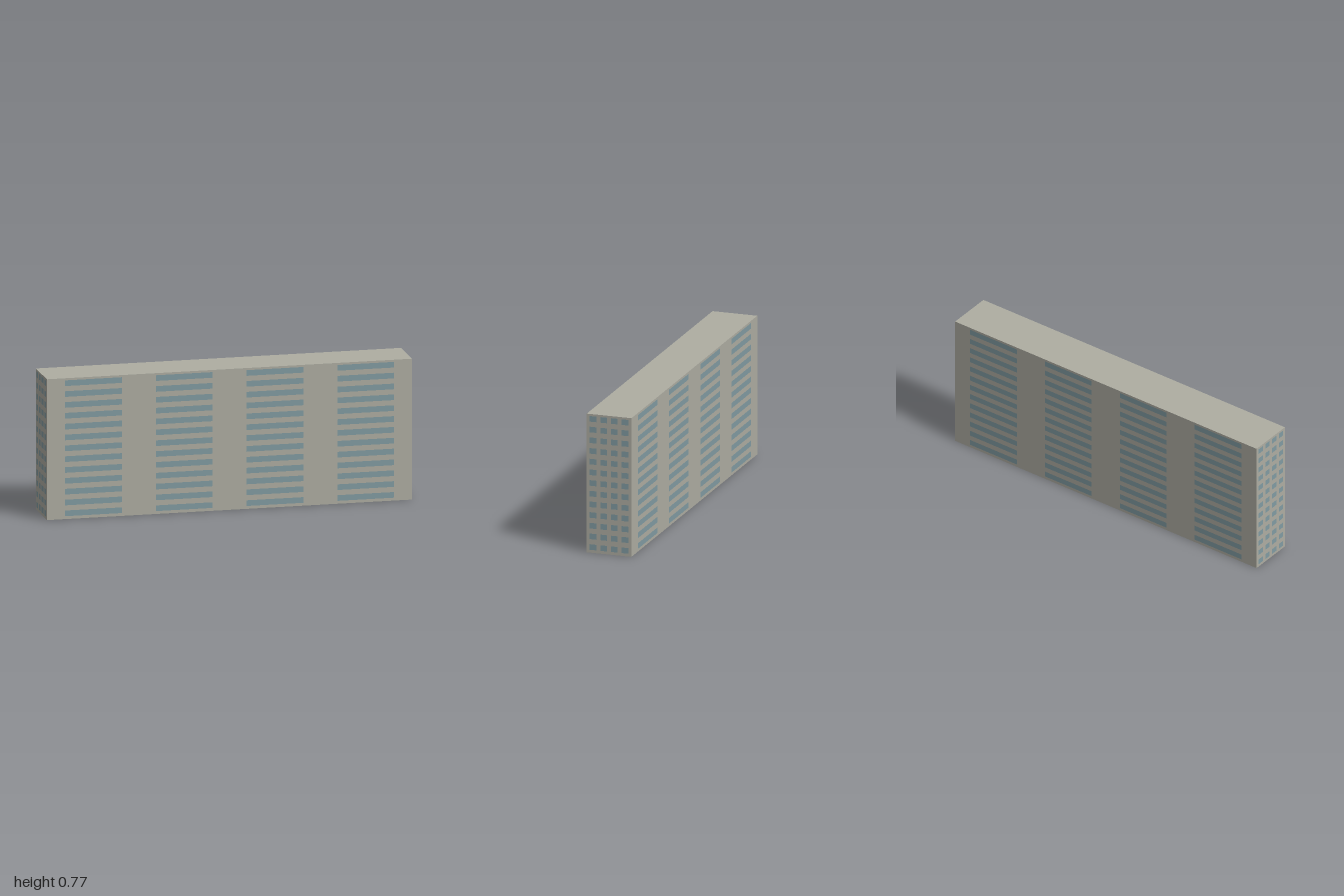
import * as THREE from 'three';

const LENGTH = 1.996, DEPTH = 0.252, HEIGHT = 0.77;
const ROWS = 13, ROW_STEP = 0.0593, FIRST_ROW = 0.0315, WINDOW_HEIGHT = 0.031;

const wallMaterial = new THREE.MeshStandardMaterial({ color: 0xaeada2, side: THREE.DoubleSide });
wallMaterial.name = 'concrete';
const glassMaterial = new THREE.MeshStandardMaterial({ color: 0x819ba2 });
glassMaterial.name = 'windowGlass';

// One wall facing +z with a grid of thin windows, standing on y = 0
function makeFacade(name, width, columnStep, windowWidth) {
  const facade = new THREE.Group();
  facade.name = name;
  const wall = new THREE.Mesh(new THREE.PlaneGeometry(width, HEIGHT), wallMaterial);
  wall.name = 'wall';
  wall.position.y = HEIGHT / 2;
  facade.add(wall);

  const pane = new THREE.PlaneGeometry(windowWidth, WINDOW_HEIGHT);
  for (let row = 0; row < ROWS; row++) {
    for (let column = 0; column < 4; column++) {
      const glass = new THREE.Mesh(pane, glassMaterial);
      glass.name = 'window';
      glass.position.set((column - 1.5) * columnStep, FIRST_ROW + row * ROW_STEP, 0.001);
      facade.add(glass);
    }
  }
  return facade;
}

export function createModel() {
  const building = new THREE.Group();
  building.name = 'apartmentBlock';

  // Two long and two short facades, each turned to face outwards
  const sides = [
    ['frontFacade', 0], ['leftFacade', 1], ['backFacade', 2], ['rightFacade', 3],
  ];
  for (const [name, turn] of sides) {
    const long = turn % 2 === 0;
    const facade = long
      ? makeFacade(name, LENGTH, 0.496, 0.31)
      : makeFacade(name, DEPTH, 0.06, 0.038);
    const angle = turn * Math.PI / 2;
    const distance = (long ? DEPTH : LENGTH) / 2;
    facade.rotation.y = angle;
    facade.position.set(Math.sin(angle) * distance, 0, Math.cos(angle) * distance);
    building.add(facade);
  }

  // Flat roof; the underside stays open
  const roof = new THREE.Mesh(new THREE.PlaneGeometry(LENGTH, DEPTH), wallMaterial);
  roof.name = 'roof';
  roof.rotation.x = -Math.PI / 2;
  roof.position.y = HEIGHT;
  building.add(roof);

  // The block stands slightly turned on its plot
  building.rotation.y = -0.0158;
  const model = new THREE.Group();
  model.name = 'building';
  model.add(building);
  return model;
}
